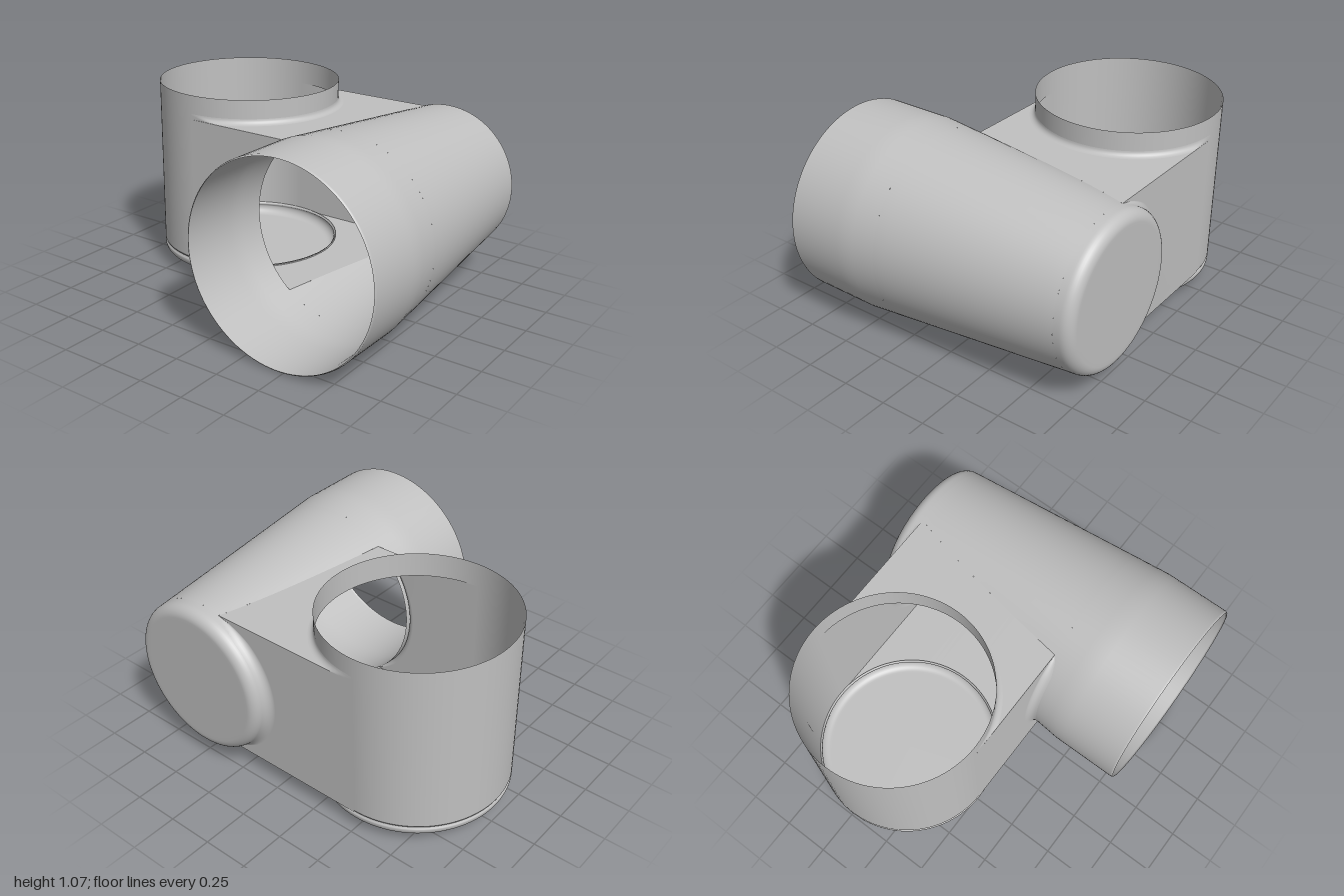
import * as THREE from 'three';

const AXIS_Y = 0.527, TUBE_Z = 0.467;           // axis of the lying tube
const HUB_X = 0.23, HUB_Z = -0.5, HUB_R = 0.5;  // upright cylinder
const NECK_H = 0.405;                           // half height of the neck
const TOP = 0.538, TILT = -0.013;
const X0 = HUB_X - HUB_R, X1 = HUB_X + HUB_R;

// Tube radius along x, and the z of its back surface
const tubeR = x => 0.5325 - Math.max(0, x + 0.45) * 0.093;
const tubeBack = (x, y) => TUBE_Z - Math.sqrt(tubeR(x) ** 2 - y * y);

// Surface grid from f(u, v); the front side faces du x dv
function grid(nu, nv, f) {
  const pos = [], idx = [];
  for (let i = 0; i <= nu; i++)
    for (let j = 0; j <= nv; j++) pos.push(...f(i / nu, j / nv));
  for (let i = 0; i < nu; i++)
    for (let j = 0; j < nv; j++) {
      const a = i * (nv + 1) + j, b = a + nv + 1;
      idx.push(a, b, b + 1, a, b + 1, a + 1);
    }
  const g = new THREE.BufferGeometry();
  g.setAttribute('position', new THREE.Float32BufferAttribute(pos, 3));
  g.setIndex(idx);
  g.computeVertexNormals();
  return g;
}

const lathe = pts => new THREE.LatheGeometry(pts.map(p => new THREE.Vector2(p[0], p[1])), 96);

// Quarter round from the side to the end of a profile
const arc = (cx, cy, r, a0, a1, n = 8) => Array.from({ length: n + 1 }, (_, i) => {
  const a = a0 + (a1 - a0) * i / n;
  return [cx + r * Math.cos(a), cy + r * Math.sin(a)];
});

export function createModel() {
  const model = new THREE.Group();
  model.name = 'jointHousing';
  const body = new THREE.Group();
  body.name = 'housingShell';
  body.position.y = AXIS_Y;
  body.rotation.z = TILT;
  model.add(body);

  const grey = new THREE.MeshStandardMaterial({ color: 0xc0c0c0, side: THREE.DoubleSide });
  grey.name = 'shellGrey';
  const add = (name, geo, x = 0, y = 0, z = 0) => {
    const m = new THREE.Mesh(geo, grey);
    m.name = name;
    m.position.set(x, y, z);
    body.add(m);
  };

  // Lying tube: open end, middle cut open at the neck, closed rounded end
  const openEnd = [[0.525, -0.818], [0.53, -0.815], [0.5325, -0.807], [0.5325, -0.5], [0.5325, -0.45],
    [tubeR(-0.4), -0.4], [tubeR(X0), X0]];
  const closedEnd = [[tubeR(X1), X1], [tubeR(0.75), 0.75],
    ...arc(0.36, 0.76, 0.06, 0.05, Math.PI / 2), [0.34, 0.82], [0, 0.82]];
  add('tubeOpenEnd', lathe(openEnd).rotateZ(-Math.PI / 2), 0, 0, TUBE_Z);
  add('tubeClosedEnd', lathe(closedEnd).rotateZ(-Math.PI / 2), 0, 0, TUBE_Z);
  add('tubeMiddle', grid(72, 16, (u, v) => {
    const x = X0 + (X1 - X0) * v, r = tubeR(x), a0 = Math.asin(NECK_H / r);
    const a = a0 + (2 * Math.PI - 2 * a0) * u;
    return [x, r * Math.sin(a), -r * Math.cos(a)];
  }), 0, 0, TUBE_Z);

  // Upright cylinder: back half full height, front half only above the neck
  const half = (y0, y1, start) => new THREE.CylinderGeometry(HUB_R, HUB_R, y1 - y0, 48, 1, true, start, Math.PI)
    .translate(0, (y0 + y1) / 2, 0);
  add('hubBack', half(-NECK_H + 0.012, TOP, Math.PI / 2), HUB_X, 0, HUB_Z);
  add('hubRim', half(NECK_H, TOP, -Math.PI / 2), HUB_X, 0, HUB_Z);

  // Rounded bottom cap with a fine groove where it meets the cylinder
  const cap = [[0, -0.465], [0.44, -0.465], ...arc(0.455, -0.42, 0.045, -Math.PI / 2, 0),
    [0.499, -0.412], [0.49, -NECK_H], [0.497, -NECK_H + 0.005], [HUB_R, -NECK_H + 0.012]];
  add('hubCap', lathe(cap), HUB_X, 0, HUB_Z);

  // Neck top and bottom, from the cylinder's arc to the tube
  const plate = (y, u, v) => {
    const t = (u - 0.5) * Math.PI;
    const x = HUB_X + HUB_R * Math.sin(t), z = HUB_Z + HUB_R * Math.cos(t);
    return [x, y, z + (tubeBack(x, y) - z) * v];
  };
  add('neckTop', grid(1, 48, (u, v) => plate(NECK_H, v, u)));
  add('neckBottom', grid(48, 1, (u, v) => plate(-NECK_H, u, v)));

  // Neck sides, flaring softly into the tube
  const side = (s, u, v) => {
    const y = NECK_H * (2 * u - 1), x = HUB_X + s * HUB_R, k = Math.round(v * 8);
    if (k === 0) return [x, y, HUB_Z];
    const f = 0.045 * Math.sqrt(Math.min(1, (NECK_H - Math.abs(y)) / 0.08));
    const a = (k - 1) / 7 * Math.PI / 2, px = x + s * f * (1 - Math.cos(a));
    return [px, y, tubeBack(px, y) - f * (1 - Math.sin(a))];
  };
  add('neckRightSide', grid(48, 8, (u, v) => side(1, u, v)));
  add('neckLeftSide', grid(8, 48, (u, v) => side(-1, v, u)));

  // Small fillet where the rim rises from the neck top
  add('rimFillet', grid(6, 48, (u, v) => {
    const t = (v - 0.5) * Math.PI, a = u * Math.PI / 2;
    const r = HUB_R + 0.03 * (1 - Math.cos(a));
    const x = THREE.MathUtils.clamp(r * Math.sin(t), -HUB_R, HUB_R);
    return [x, NECK_H + 0.001 + 0.03 * (1 - Math.sin(a)), r * Math.cos(t)];
  }), HUB_X, 0, HUB_Z);

  return model;
}
